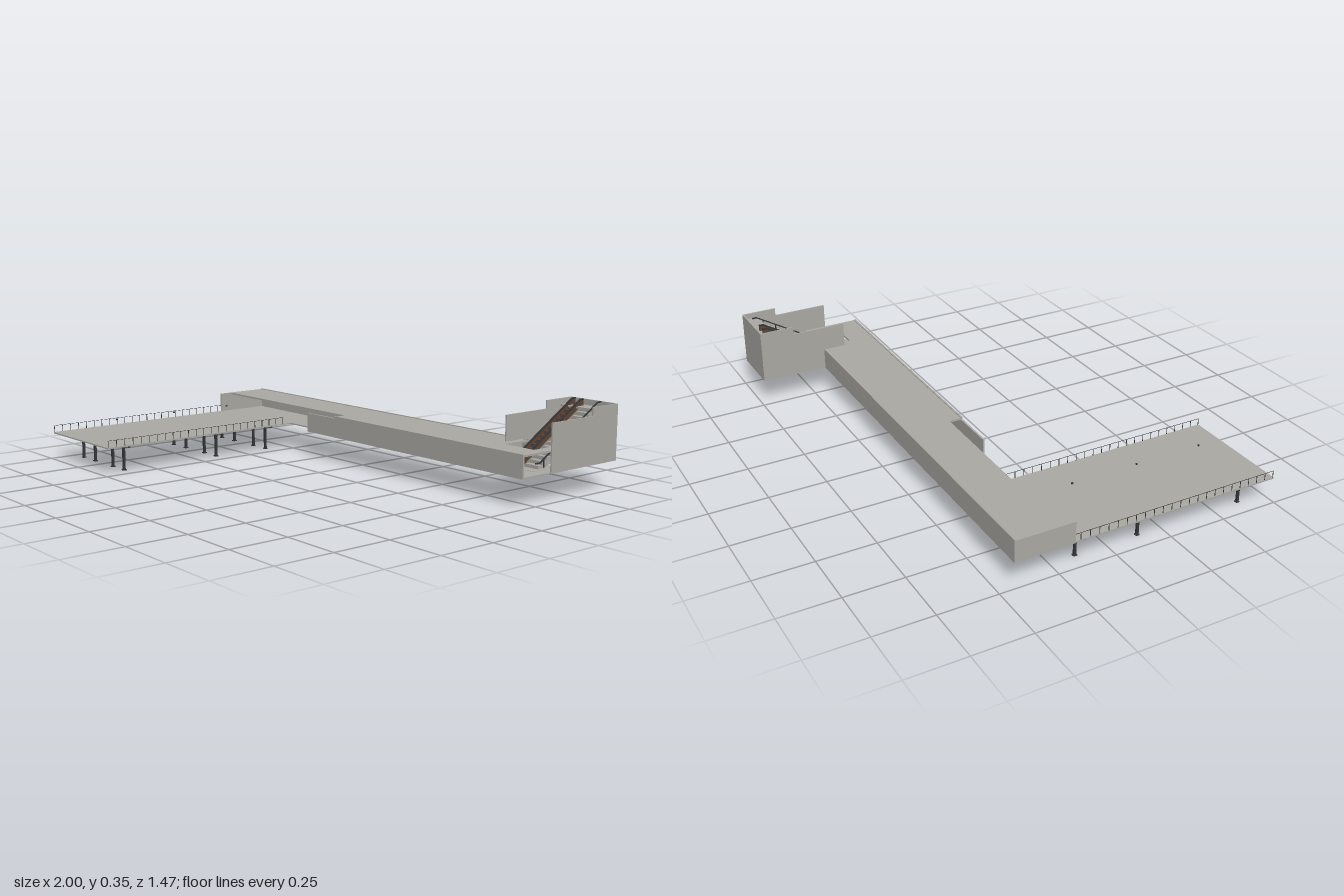
import * as THREE from 'three';

const flat = (name, color) => new THREE.MeshStandardMaterial({ name, color });

export function createModel() {
  const model = new THREE.Group();
  model.name = 'elevatedWalkway';
  const concrete = flat('concrete grey', 0xaba9a2);
  const steel = flat('dark steel', 0x34363a);
  const brown = flat('brown treads', 0x5e4534);
  const strip = flat('mid grey', 0x7f7d78);

  const group = (name) => {
    const g = new THREE.Group();
    g.name = name;
    model.add(g);
    return g;
  };
  // Box given by its minimum and maximum on each axis
  const box = (parent, name, mat, x0, x1, y0, y1, z0, z1) => {
    const m = new THREE.Mesh(new THREE.BoxGeometry(x1 - x0, y1 - y0, z1 - z0), mat);
    m.position.set((x0 + x1) / 2, (y0 + y1) / 2, (z0 + z1) / 2);
    m.name = name;
    parent.add(m);
    return m;
  };
  // Side outline of [z, y] points, extruded from x0 to x1
  const sidePlate = (parent, name, mat, x0, x1, points) => {
    const shape = new THREE.Shape(points.map(([z, y]) => new THREE.Vector2(z, y)));
    const geo = new THREE.ExtrudeGeometry(shape, { depth: x1 - x0, bevelEnabled: false });
    geo.rotateY(-Math.PI / 2).translate(x1, 0, 0);
    const m = new THREE.Mesh(geo, mat);
    m.name = name;
    parent.add(m);
  };
  // Horizontal slab from an outline of [x, z] points
  const slab = (parent, name, mat, y0, y1, points) => {
    const shape = new THREE.Shape(points.map(([x, z]) => new THREE.Vector2(x, -z)));
    const geo = new THREE.ExtrudeGeometry(shape, { depth: y1 - y0, bevelEnabled: false });
    geo.rotateX(-Math.PI / 2).translate(0, y0, 0);
    const m = new THREE.Mesh(geo, mat);
    m.name = name;
    parent.add(m);
  };

  // Long corridor, open at its +x end and towards the deck
  const corridor = group('corridor');
  slab(corridor, 'corridorFloor', concrete, 0.114, 0.12, [
    [-1, -0.44], [0.99, -0.44], [0.99, -0.185], [-0.31, -0.185], [-0.31, -0.245], [-1, -0.245]]);
  slab(corridor, 'corridorRoof', concrete, 0.199, 0.207, [
    [-0.996, -0.436], [0.79, -0.436], [0.79, -0.3], [0.942, -0.3], [0.942, -0.436], [0.99, -0.436],
    [0.99, -0.19], [-0.12, -0.19], [-0.12, -0.245], [-0.996, -0.245]]);
  box(corridor, 'backWall', concrete, -1, 0.79, 0.114, 0.21, -0.44, -0.434);
  box(corridor, 'backWallEnd', concrete, 0.942, 0.99, 0.114, 0.21, -0.44, -0.434);
  box(corridor, 'frontWall', concrete, -0.12, 0.99, 0.114, 0.21, -0.192, -0.184);
  box(corridor, 'frontWallLow', concrete, -0.31, -0.12, 0.114, 0.2, -0.192, -0.184);
  box(corridor, 'endWall', concrete, -1, -0.994, 0.114, 0.207, -0.44, -0.184);

  // Platform deck on rows of columns
  const deck = group('deck');
  box(deck, 'deckSlab', concrete, -0.998, -0.512, 0.114, 0.12, -0.25, 0.735);
  for (const z of [0.625, 0.143, -0.138]) {
    box(deck, 'crossBeam', steel, -0.99, -0.52, 0.107, 0.114, z - 0.006, z + 0.006);
    for (const x of [-0.925, -0.82, -0.665, -0.57]) {
      box(deck, 'column', steel, x - 0.005, x + 0.005, 0.004, 0.107, z - 0.005, z + 0.005);
      box(deck, 'columnFoot', steel, x - 0.008, x + 0.008, 0, 0.004, z - 0.008, z + 0.008);
      box(deck, 'columnCap', steel, x - 0.008, x + 0.008, 0.1, 0.107, z - 0.008, z + 0.008);
    }
  }

  // Thin railings on both long sides of the deck
  const railings = group('railings');
  for (const x of [-0.996, -0.514]) {
    for (let i = 0; i < 24; i++) {
      const z = -0.2 + i * 0.0405;
      box(railings, 'railPost', steel, x - 0.001, x + 0.001, 0.12, 0.15, z - 0.001, z + 0.001);
    }
    box(railings, 'topRail', steel, x - 0.0007, x + 0.0007, 0.149, 0.1504, -0.2, 0.732);
  }

  // Small lamps above the deck and in the corridor
  const lamps = group('lamps');
  for (const [x, z] of [[-0.75, 0.55], [-0.75, 0.25], [-0.75, -0.045], [-0.83, -0.305], [-0.56, -0.305]])
    box(lamps, 'lamp', steel, x - 0.003, x + 0.003, 0.188, 0.194, z - 0.003, z + 0.003);

  // Stair tower: stepped side walls, back wall and upper landing
  const tower = group('stairTower');
  const sideOutline = [[-0.735, 0.117], [-0.34, 0.117], [-0.34, 0.315], [-0.58, 0.315], [-0.58, 0.35], [-0.735, 0.35]];
  sidePlate(tower, 'rightSideWall', concrete, 0.755, 0.761, sideOutline);
  sidePlate(tower, 'leftSideWall', concrete, 0.991, 0.997, sideOutline);
  box(tower, 'towerBackWall', concrete, 0.761, 0.991, 0.117, 0.35, -0.735, -0.729);
  box(tower, 'landing', concrete, 0.761, 0.991, 0.318, 0.326, -0.729, -0.664);
  box(tower, 'lowerLanding', concrete, 0.79, 0.942, 0.113, 0.121, -0.44, -0.3);

  // Stepped flight rising from the corridor to the landing
  const zBottom = -0.345, zTop = -0.69, yBottom = 0.12, yTop = 0.325, steps = 14;
  const flight = () => {
    const pts = [[zBottom, yBottom - 0.004]];
    for (let i = 0; i < steps; i++) {
      const y = yBottom + (yTop - yBottom) * (i + 1) / steps;
      pts.push([zBottom + (zTop - zBottom) * i / steps, y], [zBottom + (zTop - zBottom) * (i + 1) / steps, y]);
    }
    pts.push([zTop, yTop - 0.02], [zBottom - 0.03, yBottom - 0.004]);
    return pts;
  };
  const band = (low, high) => [
    [-0.325, yBottom + low], [-0.35, yBottom + low], [zTop, yTop + low], [-0.71, yTop + low],
    [-0.71, yTop + high], [zTop, yTop + high], [-0.35, yBottom + high], [-0.325, yBottom + high]];

  const escalator = group('escalator');
  sidePlate(escalator, 'escalatorSteps', brown, 0.8, 0.841, flight());
  sidePlate(escalator, 'escalatorTruss', steel, 0.796, 0.845, [
    [-0.345, 0.116], [-0.69, 0.318], [-0.69, 0.298], [-0.375, 0.114]]);
  for (const x of [0.796, 0.838]) {
    sidePlate(escalator, 'balustrade', brown, x + 0.001, x + 0.005, band(0, 0.024));
    sidePlate(escalator, 'handrail', steel, x - 0.001, x + 0.007, band(0.024, 0.03));
  }

  const stairs = group('stairs');
  sidePlate(stairs, 'stairStringer', strip, 0.845, 0.86, [
    [-0.345, 0.12], [-0.69, 0.325], [-0.69, 0.305], [-0.375, 0.116]]);
  sidePlate(stairs, 'stairSteps', concrete, 0.86, 0.926, flight());
  sidePlate(stairs, 'stairHandrail', steel, 0.927, 0.933, band(0.024, 0.029));
  for (let i = 0; i < 6; i++) {
    const t = (i + 0.5) / 6;
    const z = zBottom + (zTop - zBottom) * t, y = yBottom + (yTop - yBottom) * t;
    box(stairs, 'handrailPost', steel, 0.928, 0.932, y - 0.012, y + 0.026, z - 0.002, z + 0.002);
  }
  return model;
}
